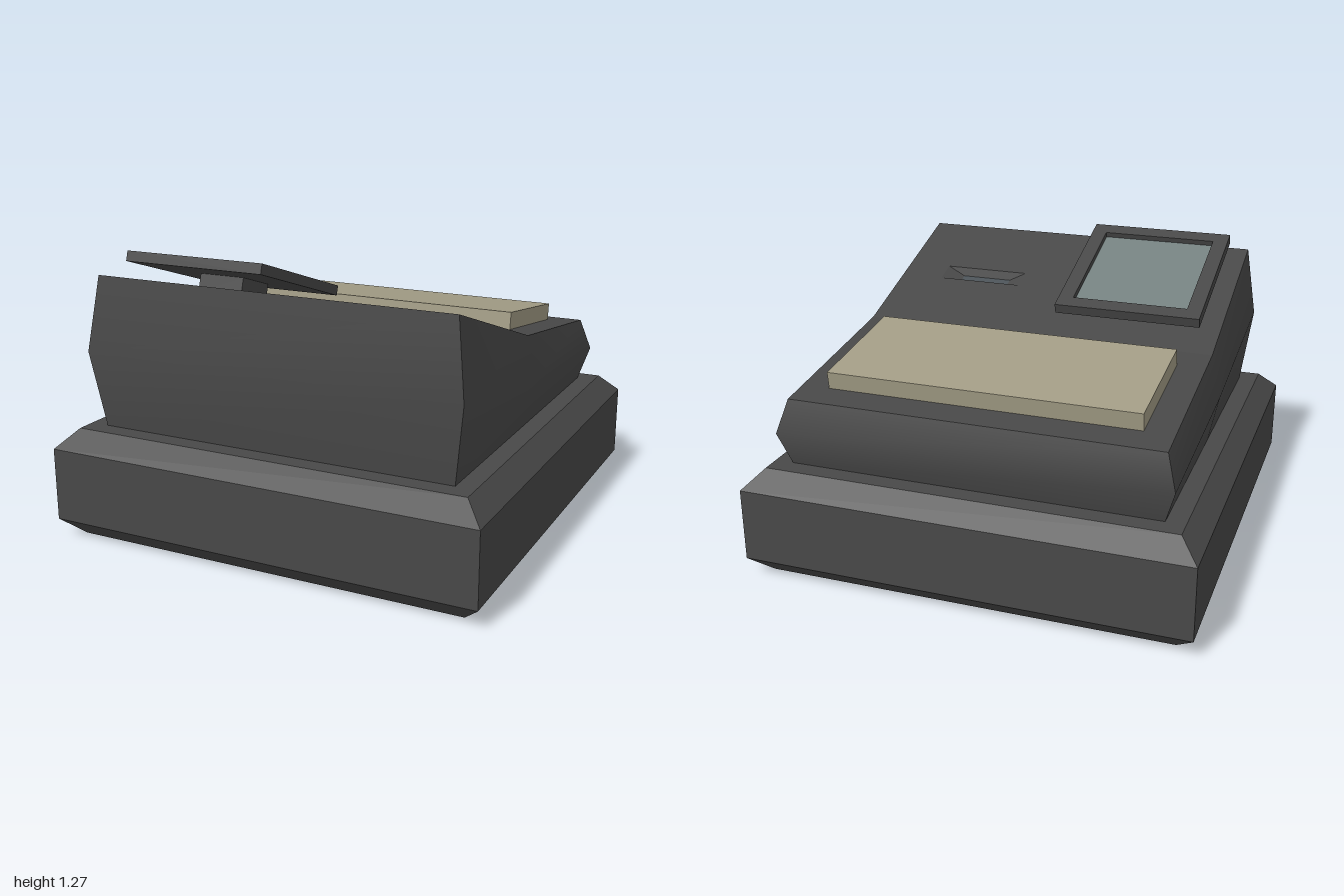
import * as THREE from 'three';
import { toCreasedNormals } from 'three/addons/utils/BufferGeometryUtils.js';

const plastic = new THREE.MeshStandardMaterial({ color: 0x484848 });
const beige = new THREE.MeshStandardMaterial({ color: 0xa29c85 });
const glass = new THREE.MeshStandardMaterial({ color: 0x74807f });
const slotBlue = new THREE.MeshStandardMaterial({ color: 0x4b5257 });

// Height of the sloping top: steep towards the front, gentle towards the back
const RISE_FRONT = 0.27 / 0.83, RISE_BACK = 0.11 / 0.83;
const topY = z => 0.91 + z * (z > 0 ? RISE_FRONT : RISE_BACK);

// Rings of [x, y, z] points, counter-clockwise from above, joined by quads
function loft(rings, capBottom, capTop) {
  const n = rings[0].length, index = [];
  for (let r = 0; r < rings.length - 1; r++) {
    for (let i = 0; i < n; i++) {
      const a = r * n + i, b = r * n + (i + 1) % n;
      index.push(a, b, b + n, a, b + n, a + n);
    }
  }
  const last = (rings.length - 1) * n;
  for (let i = 1; i < n - 1; i++) {
    if (capBottom) index.push(0, i + 1, i);
    if (capTop) index.push(last, last + i, last + i + 1);
  }
  const geo = new THREE.BufferGeometry();
  geo.setAttribute('position', new THREE.Float32BufferAttribute(rings.flat(2), 3));
  geo.setIndex(index);
  return toCreasedNormals(geo, 0.7);
}

const square = (h, y) => [[h, y, h], [h, y, -h], [-h, y, -h], [-h, y, h]];

// Ring with extra points halfway back, where the top changes slope
const bodyRing = (h, yFront, yMid, yBack) => [
  [h, yFront, h], [h, yMid, 0], [h, yBack, -h],
  [-h, yBack, -h], [-h, yMid, 0], [-h, yFront, h],
];

// Flat shape given as [x, z] corners, laid onto the sloping top
function topPanel(corners, hole) {
  const toVec = ([x, z]) => new THREE.Vector2(x, -z);
  const shape = new THREE.Shape(corners.map(toVec));
  if (hole) shape.holes.push(new THREE.Path(hole.map(toVec)));
  const geo = new THREE.ShapeGeometry(shape).rotateX(-Math.PI / 2);
  const p = geo.attributes.position;
  for (let i = 0; i < p.count; i++) p.setY(i, topY(p.getZ(i)));
  geo.computeVertexNormals();
  return geo;
}

function rectPath(PathType, w, h) {
  return new PathType([[-w, -h], [w, -h], [w, h], [-w, h]]
    .map(([x, y]) => new THREE.Vector2(x / 2, y / 2)));
}

function add(parent, name, geometry, material, x = 0, y = 0, z = 0) {
  const mesh = new THREE.Mesh(geometry, material);
  mesh.name = name;
  mesh.position.set(x, y, z);
  parent.add(mesh);
  return mesh;
}

export function createModel() {
  const model = new THREE.Group();
  model.name = 'cashRegister';

  // Drawer base with bevelled top and bottom edges
  add(model, 'drawerBase', loft(
    [square(0.915, 0), square(1, 0.085), square(1, 0.415), square(0.915, 0.5)], true, true), plastic);

  // Body walls, bulging at half height
  add(model, 'bodyWalls', loft([
    bodyRing(0.83, 0.5, 0.5, 0.5),
    bodyRing(0.875, 0.845, 0.71, 0.65),
    bodyRing(0.83, 1.18, 0.91, 0.8),
  ]), plastic);

  // Sloping top, its front half pierced by the receipt slot
  const rim = [[0.62, 0.46], [0.62, 0.36], [0.21, 0.36], [0.21, 0.46]];
  const bottom = [[0.535, 0.45], [0.535, 0.388], [0.29, 0.388], [0.29, 0.45]];
  add(model, 'topBack', topPanel([[-0.83, 0], [0.83, 0], [0.83, -0.83], [-0.83, -0.83]]), plastic);
  add(model, 'topFront', topPanel([[-0.83, 0.83], [0.83, 0.83], [0.83, 0], [-0.83, 0]], rim), plastic);

  // Receipt slot: tapering walls and a floor
  const floorPoints = bottom.map(([x, z]) => [x, topY(z) - 0.037, z]);
  add(model, 'slotWalls', loft([rim.map(([x, z]) => [x, topY(z), z]), floorPoints]), plastic);
  add(model, 'slotFloor', loft([floorPoints], false, true), slotBlue);

  // Keypad plate lying on the back slope
  const keypad = add(model, 'keypad', new THREE.BoxGeometry(1.4, 0.08, 0.575), beige, 0, 0.893, -0.421);
  keypad.rotation.x = -Math.atan(RISE_BACK);

  // Tilted display: frame with an opening, glass set into it, stem below
  const display = new THREE.Group();
  display.name = 'display';
  display.position.set(-0.4175, 1.1425, 0.3875);
  display.rotation.x = -Math.atan(RISE_FRONT);
  model.add(display);

  const frame = rectPath(THREE.Shape, 0.675, 0.71);
  frame.holes.push(rectPath(THREE.Path, 0.535, 0.57));
  const frameGeo = new THREE.ExtrudeGeometry(frame, { depth: 0.046, bevelEnabled: false });
  add(display, 'displayFrame', frameGeo.rotateX(-Math.PI / 2), plastic, 0, -0.023, 0);
  add(display, 'displayGlass', new THREE.BoxGeometry(0.535, 0.01, 0.57), glass, 0, -0.007, 0);
  add(display, 'displayBack', new THREE.BoxGeometry(0.535, 0.011, 0.57), plastic, 0, -0.0175, 0);
  add(display, 'displayStem', new THREE.BoxGeometry(0.22, 0.085, 0.22), plastic, 0, -0.0645, 0);

  return model;
}
